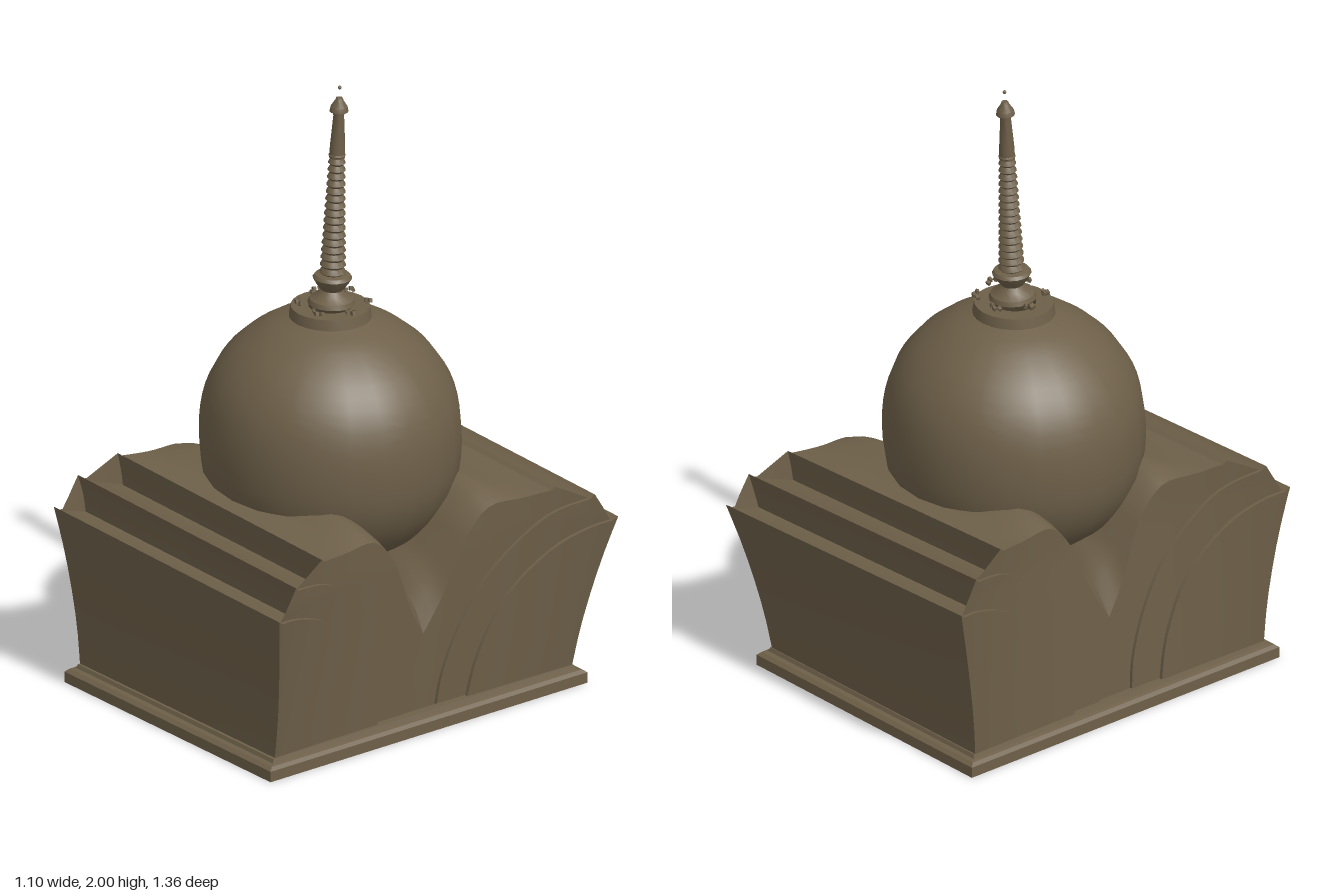
import * as THREE from 'three';
import { toCreasedNormals } from 'three/addons/utils/BufferGeometryUtils.js';

const stone = new THREE.MeshStandardMaterial({ color: 0x6e6049, side: THREE.DoubleSide });
stone.name = 'weathered stone';

const v2 = ([x, y]) => new THREE.Vector2(x, y);
const spline = (pts, n) => new THREE.SplineCurve(pts.map(v2)).getPoints(n);

function add(parent, name, geometry, crease = 0.6) {
  const mesh = new THREE.Mesh(toCreasedNormals(geometry, crease), stone);
  mesh.name = name;
  parent.add(mesh);
  return mesh;
}

// Grid surface: point(i, t) for row i of a path and t = 0..1 across it
function sheet(parent, name, rows, segs, point) {
  const geometry = new THREE.PlaneGeometry(1, 1, segs, rows - 1);
  for (let i = 0; i < rows; i++) {
    for (let j = 0; j <= segs; j++) {
      geometry.attributes.position.setXYZ(i * (segs + 1) + j, ...point(i, j / segs));
    }
  }
  add(parent, name, geometry);
}

// Maps u (-1..1 across), height and depth to the flared, slightly tilted petal shape
function place(u, y, z, width) {
  const low = Math.max(0, 1 - y / 0.6);
  const w = width + 0.075 * (y / 0.57) * (z / 0.68) ** 2;
  const x = u * w - 0.025 * low;
  return [x, y * (1 - 0.05 * x), z + 0.004 + 0.026 * low - 0.015 * x * (1 - low)];
}

// Rise of the innermost roof between its two side edges
function crown(u, z) {
  const hump = 0.035 * Math.exp(-(((z - 0.24) / 0.1) ** 2));
  const valley = 0.14 * Math.exp(-((z / 0.12) ** 2));
  return (1 - u ** 6) * (hump + valley);
}

// Nested petals: front edge rises to the tip, curve falls from the tip towards the middle
const PETALS = [
  {
    name: 'outerPetal', width: 0.475,
    front: spline([[0.59, 0.04], [0.603, 0.2], [0.635, 0.4], [0.673, 0.575]], 8),
    curve: spline([[0.655, 0.563], [0.575, 0.55], [0.45, 0.5], [0.3, 0.375], [0.21, 0.2], [0.175, 0.04]], 20),
  },
  {
    name: 'middlePetal', width: 0.463,
    front: spline([[0.573, 0.545], [0.58, 0.6], [0.594, 0.665]], 4),
    curve: spline([[0.58, 0.652], [0.46, 0.63], [0.36, 0.575], [0.22, 0.45], [0.13, 0.3], [0.08, 0.16], [0.065, 0.04]], 20),
  },
  {
    name: 'innerPetal', width: 0.452,
    front: spline([[0.45, 0.61], [0.455, 0.66], [0.464, 0.715]], 4),
    curve: spline([[0.45, 0.705], [0.35, 0.7], [0.235, 0.7], [0.16, 0.635], [0.11, 0.54], [0.06, 0.42], [0, 0.32]], 20),
  },
];

function buildPetal(parent, k, s) {
  const { name, width, front, curve } = PETALS[k];
  const next = PETALS[k + 1];
  const group = new THREE.Group();
  group.name = name + (s > 0 ? 'Front' : 'Back');
  parent.add(group);

  // Face with its lip running in to the next petal
  const face = next ? [...front, curve[0], next.front[0]] : [...front, curve[0]];
  sheet(group, 'face', face.length, 8, (i, t) => place(t * 2 - 1, face[i].y, face[i].x * s, width));

  // Each side wall spans from this petal's outline down to the floor or the petal outside it
  const top = [...front, ...curve];
  let under;
  if (k === 0) {
    const a = front[0].x;
    const b = curve[curve.length - 1].x;
    under = top.map((p, i) => new THREE.Vector2(a + ((b - a) * i) / (top.length - 1), 0.04));
  } else {
    const outside = PETALS[k - 1].curve;
    under = [...front.map(() => outside[0]), ...outside];
  }
  if (!next) {
    top.push(curve[curve.length - 1]);
    under.push(new THREE.Vector2(0, 0.04));
  }
  for (const side of [-1, 1]) {
    sheet(group, 'sideWall', top.length, 5, (i, t) => {
      const p = top[i].clone().lerp(under[i], t);
      return place(side, p.y, p.x * s, width);
    });
    // Narrow step down to the next petal's wall
    if (next) {
      sheet(group, 'sideStep', curve.length, 1, (i, t) =>
        place(side, curve[i].y, curve[i].x * s, width + (next.width - width) * t));
    }
  }

  // Roof sweeping down under the dome
  if (!next) {
    sheet(group, 'roof', curve.length, 20, (i, t) => {
      const u = t * 2 - 1;
      return place(u, curve[i].y + crown(u, curve[i].x), curve[i].x * s, width);
    });
  }
}

export function createModel() {
  const model = new THREE.Group();
  model.name = 'domedShrine';

  // Stepped rectangular plinth, open underneath
  const rim = [[0.5, 0], [0.5, 0.035], [0.49, 0.045], [0.478, 0.048], [0.474, 0.06], [0.45, 0.062]];
  const plinth = new THREE.LatheGeometry(rim.map(([r, y]) => new THREE.Vector2(r * Math.SQRT2, y)), 4);
  plinth.rotateY(Math.PI / 4).scale(1.02, 1, 1.26).translate(-0.02, 0, 0.03);
  add(model, 'plinth', plinth, 0.3);

  // Front and back stacks of petals, meeting in a valley
  for (const s of [1, -1]) PETALS.forEach((_, k) => buildPetal(model, k, s));

  // Dome with a collar, open in the middle of its top
  const domeCurve = spline([[0.02, 0.44], [0.2, 0.48], [0.33, 0.57], [0.402, 0.7], [0.417, 0.86],
    [0.39, 1.0], [0.32, 1.11], [0.22, 1.19], [0.14, 1.225]], 28);
  const dome = add(model, 'dome', new THREE.LatheGeometry(
    [...domeCurve, ...[[0.132, 1.228], [0.126, 1.262], [0.07, 1.262]].map(v2)], 24), 0.7);
  dome.position.set(-0.028, 0, 0.006);
  dome.scale.z = 0.968;

  // Leaning spire
  const spire = new THREE.Group();
  spire.name = 'spire';
  spire.position.set(-0.018, 1.27, 0.01);
  spire.rotation.set(-0.04, 0, -0.008);
  model.add(spire);
  const cup = [[0, 0], [0.075, 0.005], [0.07, 0.02], [0.045, 0.035], [0.035, 0.05], [0.05, 0.07],
    [0.062, 0.09], [0.055, 0.1], [0.03, 0.105]];
  add(spire, 'spireCup', new THREE.LatheGeometry(cup.map(v2), 16));

  // Ribbed shaft
  const ribs = [];
  const count = 16;
  for (let i = 0; i <= count; i++) {
    const y = 0.1 + (0.39 * i) / count;
    const r = 0.042 - (0.015 * i) / count;
    ribs.push(new THREE.Vector2(r - 0.008, y), new THREE.Vector2(r, y + 0.008), new THREE.Vector2(r - 0.004, y + 0.016));
  }
  add(spire, 'ribbedShaft', new THREE.LatheGeometry(ribs, 14));

  // Slender neck and pointed finial
  const tip = [[0.025, 0.49], [0.024, 0.53], [0.017, 0.63], [0.018, 0.64], [0.03, 0.645], [0.027, 0.66],
    [0.014, 0.68], [0.01, 0.69], [0, 0.692]];
  add(spire, 'finial', new THREE.LatheGeometry(tip.map(v2), 12));
  add(spire, 'topBead', new THREE.SphereGeometry(0.006, 8, 6)).position.y = 0.723;

  // Broken ring of small ornaments around the spire foot
  const ornaments = new THREE.Group();
  ornaments.name = 'collarOrnaments';
  ornaments.position.set(-0.01, 1.282, 0.008);
  model.add(ornaments);
  for (let i = 0; i < 6; i++) {
    for (let k = -1; k <= 1; k++) {
      const a = (i / 6) * Math.PI * 2 + 0.12 + k * 0.13;
      const r = 0.108 + (k === 0 ? 0.006 : -0.004);
      const chip = add(ornaments, 'ornamentChip', new THREE.BoxGeometry(0.014, 0.012, 0.01));
      chip.position.set(Math.cos(a) * r, k * 0.003, Math.sin(a) * r);
      chip.rotation.set(0.4 * k, -a + i, 0.3);
    }
  }
  return model;
}
